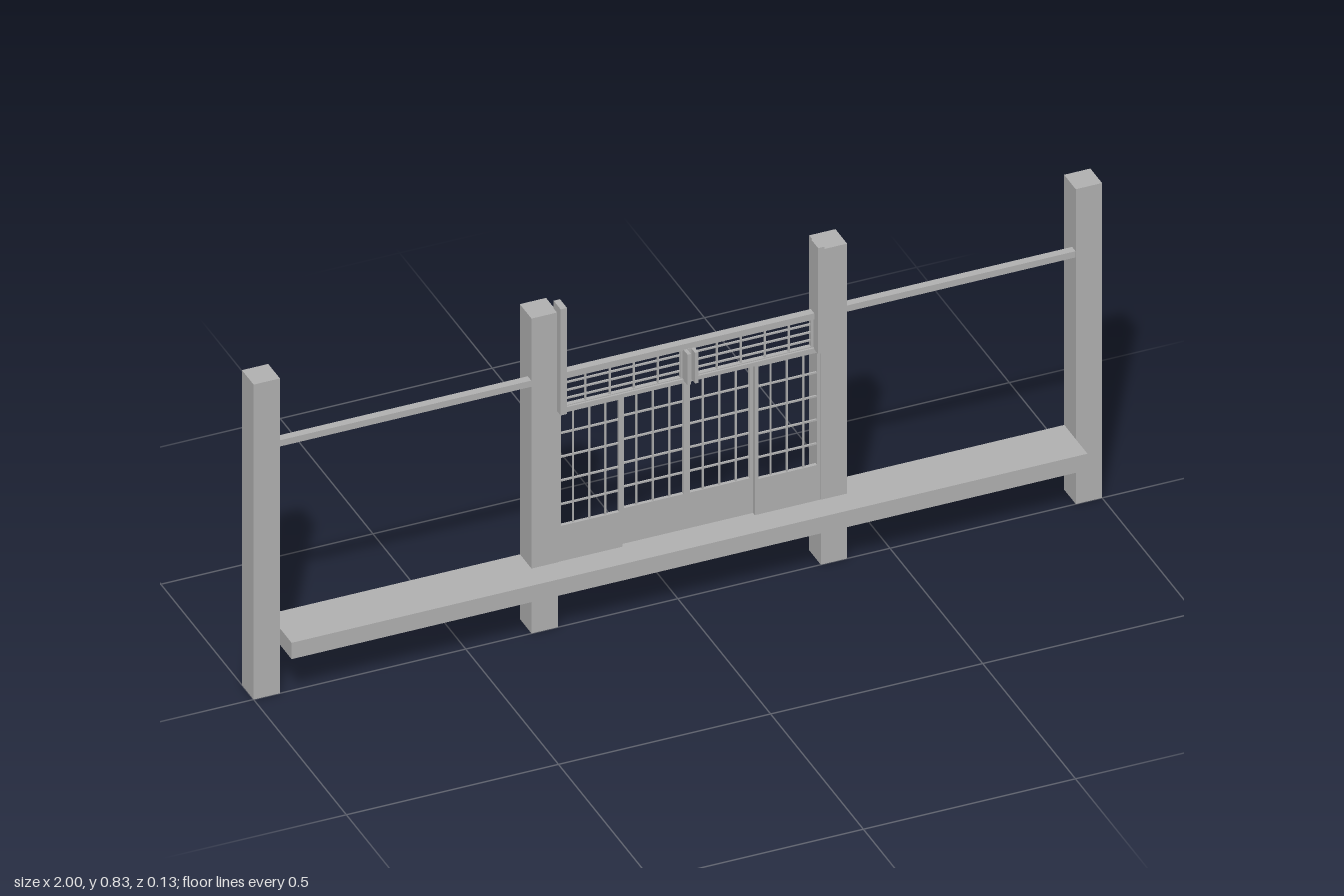
import * as THREE from 'three';

const grey = new THREE.MeshStandardMaterial({ color: 0xb2b2b2 });
grey.name = 'plain grey';

// Box given by its limits on each axis
function block(parent, name, x0, x1, y0, y1, z0, z1) {
  const mesh = new THREE.Mesh(new THREE.BoxGeometry(x1 - x0, y1 - y0, z1 - z0), grey);
  mesh.position.set((x0 + x1) / 2, (y0 + y1) / 2, (z0 + z1) / 2);
  mesh.name = name;
  parent.add(mesh);
}

// Framed opening filled with evenly spaced thin bars
function lattice(parent, x0, x1, y0, y1, z0, z1, cols, rows, frame, bar) {
  block(parent, 'leftStile', x0, x0 + frame, y0, y1, z0, z1);
  block(parent, 'rightStile', x1 - frame, x1, y0, y1, z0, z1);
  block(parent, 'topFrame', x0 + frame, x1 - frame, y1 - frame, y1, z0, z1);
  block(parent, 'bottomFrame', x0 + frame, x1 - frame, y0, y0 + frame, z0, z1);
  const zm = (z0 + z1) / 2, h = bar / 2;
  for (let i = 1; i < cols; i++) {
    const x = x0 + (x1 - x0) * i / cols;
    block(parent, 'verticalBar', x - h, x + h, y0, y1, zm - h, zm + h);
  }
  for (let j = 1; j < rows; j++) {
    const y = y0 + (y1 - y0) * j / rows;
    block(parent, 'crossBar', x0, x1, y - h, y + h, zm - h, zm + h);
  }
}

export function createModel() {
  const model = new THREE.Group();
  model.name = 'screenWall';

  // Posts
  for (const x of [-1, -0.345, 0.337, 0.938]) block(model, 'post', x, x + 0.062, 0, 0.81, -0.063, 0);

  // Floor ledge and long upper rail
  block(model, 'floorLedge', -0.938, 0.938, 0.125, 0.167, -0.062, 0.063);
  block(model, 'upperRail', -0.938, 0.938, 0.634, 0.65, -0.02, -0.001);

  // Sliding doors: outer pair in front, inner pair behind
  const edges = [-0.283, -0.13, 0.026, 0.182, 0.337];
  for (let i = 0; i < 4; i++) {
    const door = new THREE.Group();
    door.name = 'slidingDoor';
    const z1 = i === 0 || i === 3 ? -0.001 : -0.011;
    const z0 = z1 - 0.009, x0 = edges[i], x1 = edges[i + 1];
    block(door, 'lowerBoard', x0, x1, 0.167, 0.25, z0, z1);
    lattice(door, x0, x1, 0.25, 0.555, z0, z1, 4, 5, 0.008, 0.004);
    model.add(door);
  }

  // Lintel and transom panels above the doors
  block(model, 'lintel', -0.283, 0.337, 0.55, 0.56, -0.02, -0.001);
  for (const [x0, x1] of [[-0.27, 0.014], [0.04, 0.322]]) {
    const transom = new THREE.Group();
    transom.name = 'transom';
    lattice(transom, x0, x1, 0.557, 0.638, -0.015, -0.006, 5, 4, 0.005, 0.004);
    model.add(transom);
  }

  // Upright side battens and the grooved centre batten
  block(model, 'sideBatten', -0.285, -0.27, 0.557, 0.83, -0.018, 0.02);
  block(model, 'sideBatten', 0.322, 0.337, 0.557, 0.83, -0.018, 0.02);
  block(model, 'centreBatten', 0.014, 0.04, 0.557, 0.636, -0.018, 0);
  block(model, 'centreFlange', 0.014, 0.022, 0.557, 0.636, 0, 0.02);
  block(model, 'centreFlange', 0.032, 0.04, 0.557, 0.636, 0, 0.02);

  return model;
}
